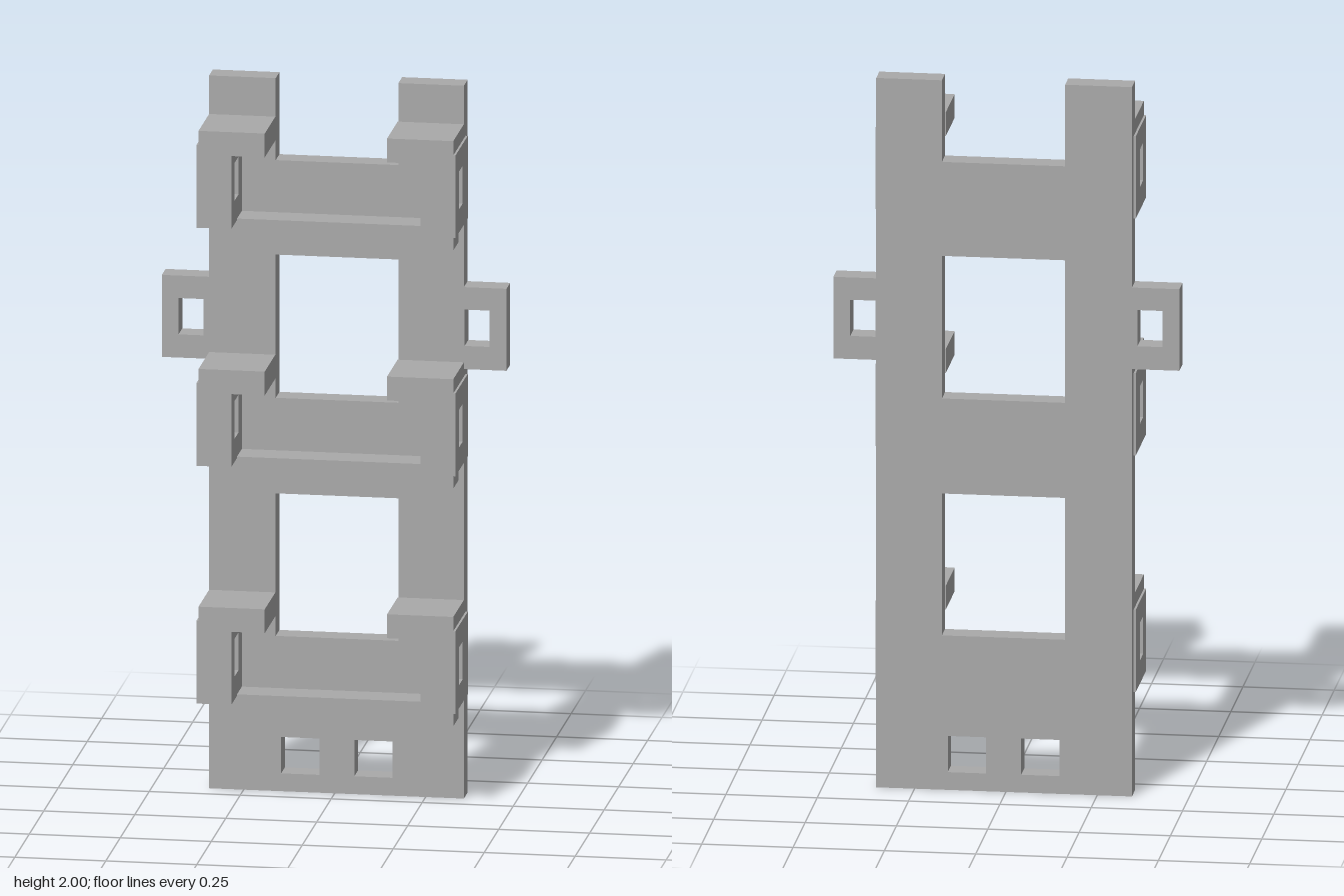
import * as THREE from 'three';

const BACK = -0.125, FACE = -0.06, FRONT = 0.123;

// Closed outline from a short list of points
const outline = (pts) => new THREE.Shape(pts.map(([x, y]) => new THREE.Vector2(x, y)));
const rect = (x0, x1, y0, y1) => [[x0, y0], [x1, y0], [x1, y1], [x0, y1]];

// Flat slab with rectangular holes, extruded from z0 to z1
function slab(pts, holes, z0, z1) {
  const shape = outline(pts);
  for (const h of holes) shape.holes.push(outline(rect(...h)));
  const geo = new THREE.ExtrudeGeometry(shape, { depth: z1 - z0, bevelEnabled: false });
  return geo.translate(0, 0, z0);
}

export function createModel() {
  const model = new THREE.Group();
  model.name = 'mountingRack';
  const grey = new THREE.MeshStandardMaterial({ color: 0xaaaaaa });
  grey.name = 'grey';
  const add = (parent, name, geo) => {
    const mesh = new THREE.Mesh(geo, grey);
    mesh.name = name;
    parent.add(mesh);
  };

  // Back plate: open slot at the top, side ears, two windows, two small holes
  const plate = [
    [-0.345, 0], [0.355, 0],
    [0.355, 1.205], [0.472, 1.205], [0.472, 1.435], [0.355, 1.435],
    [0.355, 2], [0.175, 2], [0.175, 1.77], [-0.162, 1.77], [-0.162, 2], [-0.345, 2],
    [-0.345, 1.435], [-0.475, 1.435], [-0.475, 1.205], [-0.345, 1.205],
  ];
  add(model, 'backPlate', slab(plate, [
    [-0.162, 0.175, 0.435, 0.835],
    [-0.162, 0.175, 1.103, 1.505],
    [-0.147, -0.042, 0.05, 0.152],
    [0.054, 0.159, 0.05, 0.152],
    [-0.429, -0.36, 1.27, 1.372],
    [0.357, 0.426, 1.27, 1.372],
  ], BACK, FACE));

  // Three holders, each with a shelf, two windowed cheeks and two top caps
  [0.285, 0.952, 1.62].forEach((y, i) => {
    const holder = new THREE.Group();
    holder.name = `holder${i + 1}`;
    holder.position.y = y;
    model.add(holder);

    add(holder, 'shelf', slab(rect(-0.33, 0.34, -0.06, 0.004), [], FACE, 0.024));

    for (const side of [-1, 1]) {
      const label = side > 0 ? 'left' : 'right';
      const at = (d) => 0.005 + side * d; // offset from the plate's centre line

      // Cheek: profile in z and y, turned to extrude along x
      const cheek = slab(rect(-0.09, FRONT, 0, 0.232), [[-0.003, 0.063, 0.065, 0.171]], 0, 0.096);
      cheek.rotateY(-Math.PI / 2);
      cheek.translate(Math.max(at(0.356), at(0.26)), 0, 0);
      add(holder, `${label}Cheek`, cheek);

      // Cap: steps down past the cheek to form a thicker inner lip
      add(holder, `${label}Cap`, slab([
        [at(0.35), 0.232], [at(0.26), 0.232], [at(0.26), 0.205],
        [at(0.168), 0.205], [at(0.168), 0.272], [at(0.35), 0.272],
      ], [], FACE, FRONT));
    }
  });

  return model;
}
